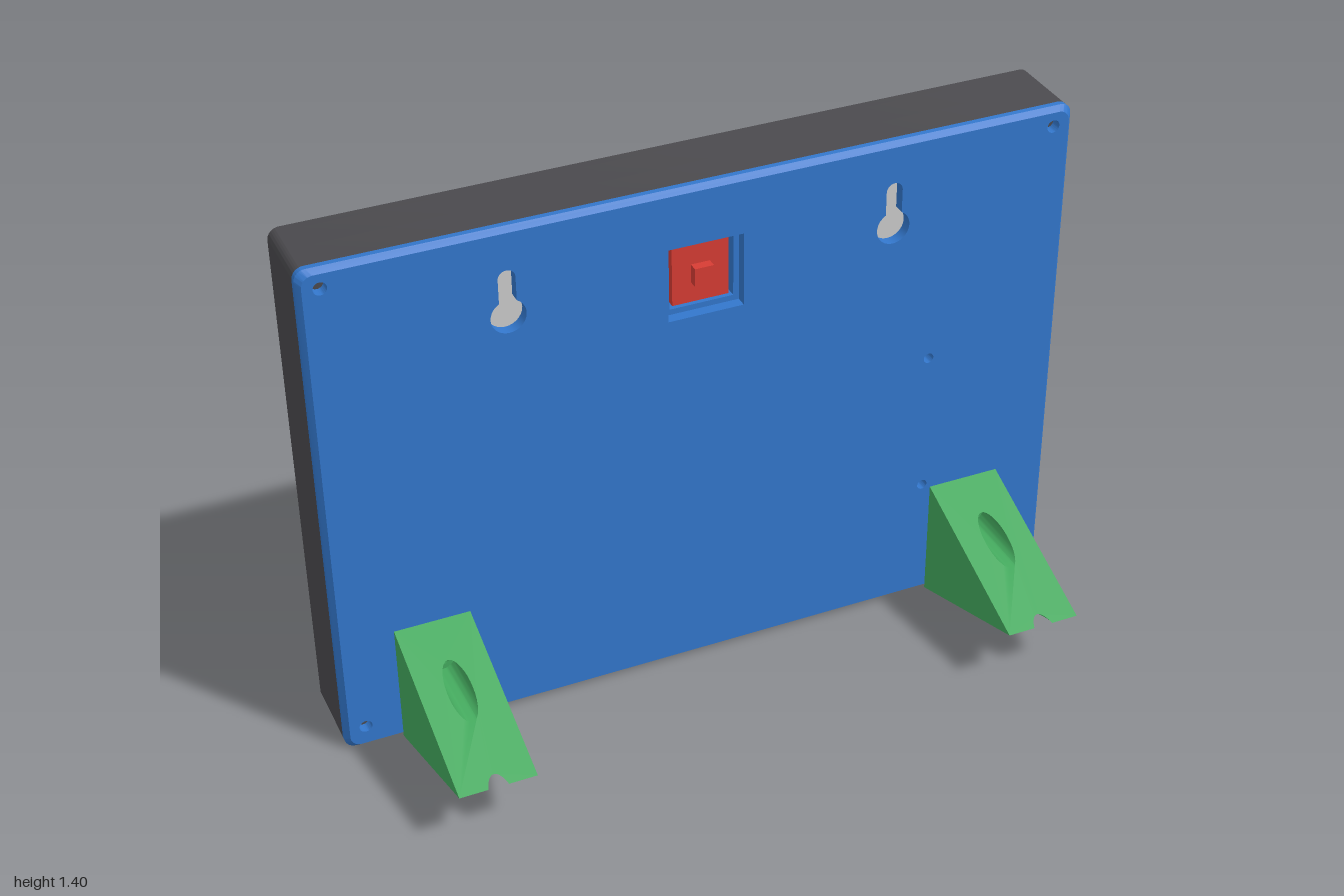
import * as THREE from 'three';
import { toCreasedNormals } from 'three/addons/utils/BufferGeometryUtils.js';

const H = 1.405, MID = H / 2;           // enclosure height and its middle
const COVER = -0.11, SEAM = -0.14, BACK = -0.345;
const SLOT = [0.48, 0.62];              // connector slot in the left wall

const mat = (color) => new THREE.MeshStandardMaterial({ color, side: THREE.DoubleSide });

// Rounded outline of the enclosure; with open = true it is a C with a gap at the slot
function outline(open = false) {
  const r = 0.03, s = new THREE.Shape();
  s.moveTo(1, SLOT[1]);
  s.lineTo(1, H - r);
  s.absarc(1 - r, H - r, r, 0, Math.PI / 2);
  s.absarc(-1 + r, H - r, r, Math.PI / 2, Math.PI);
  s.absarc(-1 + r, r, r, Math.PI, Math.PI * 1.5);
  s.absarc(1 - r, r, r, Math.PI * 1.5, Math.PI * 2);
  s.lineTo(1, SLOT[0]);
  if (open) {
    const inner = [[0.94, SLOT[0]], [0.94, 0.06], [-0.94, 0.06], [-0.94, H - 0.06], [0.94, H - 0.06], [0.94, SLOT[1]]];
    inner.forEach(([x, y]) => s.lineTo(x, y));
  }
  return s;
}

function rect(x0, y0, x1, y1) {
  return new THREE.Path([[x0, y0], [x1, y0], [x1, y1], [x0, y1]].map((p) => new THREE.Vector2(...p)));
}

function circle(x, y, r) {
  return new THREE.Path().absarc(x, y, r, 0, Math.PI * 2);
}

// Extrudes a shape from z0 to z1; the outer rim at z = chamferZ is drawn in
function slab(shape, holes, z0, z1, chamferZ = null, steps = 1) {
  shape.holes.push(...holes);
  const g = new THREE.ExtrudeGeometry(shape, { depth: z1 - z0, steps, bevelEnabled: false, curveSegments: 12 });
  g.translate(0, 0, z0);
  const p = g.attributes.position;
  for (let i = 0; chamferZ !== null && i < p.count; i++) {
    const x = p.getX(i), dy = p.getY(i) - MID;
    const onRim = Math.abs(x) > 0.985 || Math.abs(dy) > MID - 0.015;
    if (onRim && Math.abs(p.getZ(i) - chamferZ) < 1e-4) {
      p.setX(i, x * 0.988);
      p.setY(i, MID + dy * (1 - 0.012 / MID));
    }
  }
  return toCreasedNormals(g, 0.5);
}

// Wedge foot with two screw bores running along z
function footGeometry() {
  const top = 0.34, ridge = 0.165, r = 0.033, low = 0.145;
  const a = Math.asin((ridge - low) / r), c = r * Math.cos(a);
  const upper = new THREE.Shape();
  upper.moveTo(0.1, ridge);
  upper.lineTo(0.1, top);
  upper.lineTo(-0.1, top);
  upper.lineTo(-0.1, ridge);
  upper.lineTo(-c, ridge);
  upper.absarc(0, low, r, Math.PI - a, a, true);
  upper.holes.push(circle(0, 0.265, r));
  const lower = new THREE.Shape();
  lower.moveTo(-0.1, 0);
  lower.lineTo(0.1, 0);
  lower.lineTo(0.1, ridge);
  lower.lineTo(c, ridge);
  lower.absarc(0, low, r, a, Math.PI - a, true);
  lower.lineTo(-0.1, ridge);
  return [upper, lower].map((shape) => {
    const g = new THREE.ExtrudeGeometry(shape, { depth: 1, bevelEnabled: false, curveSegments: 16 }).toNonIndexed();
    const p = g.attributes.position, kept = [];
    for (let i = 0; i < p.count; i += 3) {
      const ids = [i, i + 1, i + 2];
      if (ids.every((k) => Math.abs(p.getY(k) - ridge) < 1e-4)) continue; // inner seam
      for (const k of ids) {
        const y = p.getY(k);
        const t = y > ridge ? (top - y) / (top - ridge) : y / ridge;
        kept.push(p.getX(k), y, p.getZ(k) > 0.5 ? COVER + t * (0.345 - COVER) : COVER);
      }
    }
    const out = new THREE.BufferGeometry();
    out.setAttribute('position', new THREE.Float32BufferAttribute(kept, 3));
    return toCreasedNormals(out, 0.5);
  });
}

export function createModel() {
  const root = new THREE.Group();
  root.name = 'displayEnclosure';
  const blue = mat(0x3377cc), dark = mat(0x4b4a4e), green = mat(0x44aa5e), red = mat(0xd63c34);

  const add = (name, geometry, material, parent = root) => {
    const m = new THREE.Mesh(geometry, material);
    m.name = name;
    parent.add(m);
    return m;
  };
  const box = (name, x0, x1, y0, y1, z0, z1, material) =>
    add(name, new THREE.BoxGeometry(x1 - x0, y1 - y0, z1 - z0), material)
      .position.set((x0 + x1) / 2, (y0 + y1) / 2, (z0 + z1) / 2);

  // Cover with screw holes, keyholes, switch window and foot holes
  const holes = [rect(-0.1, 1.05, 0.1, 1.25), circle(0.625, 0.755, 0.014), circle(0.625, 0.355, 0.014)];
  for (const s of [-1, 1]) {
    for (const y of [0.065, 1.355]) holes.push(circle(s * 0.945, y, 0.017));
    for (const y of [0.145, 0.265]) holes.push(circle(s * 0.75, y, 0.02));
    const a = Math.acos(0.022 / 0.045);
    const key = new THREE.Path();
    key.absarc(s * 0.505, 1.17, 0.045, Math.PI - a, Math.PI * 2 + a);
    key.absarc(s * 0.505, 1.273, 0.022, 0, Math.PI);
    holes.push(key);
  }
  add('cover', slab(outline(), holes, SEAM, COVER, COVER, 2), blue);

  // Case: notched wall, full wall and bezel
  add('caseWallFront', slab(outline(true), [], -0.225, SEAM), dark);
  add('caseWallRear', slab(outline(), [rect(-0.94, 0.06, 0.94, H - 0.06)], -0.31, -0.225), dark);
  add('bezel', slab(outline(), [rect(-0.835, 0.25, 0.835, 1.25)], BACK, -0.31, BACK, 3), dark);
  for (const x of [-0.93, 0.93]) for (const y of [0.07, 1.35]) {
    const post = add('screwPost', new THREE.CylinderGeometry(0.04, 0.04, 0.16, 24), dark);
    post.rotation.x = Math.PI / 2;
    post.position.set(x, y, -0.23);
  }

  // Screen and the module behind it
  box('screen', -0.87, 0.87, 0.22, 1.28, -0.32, -0.3, mat(0xc2bcb0));
  box('displayModule', -0.9, 0.9, 0.14, 1.27, -0.3, -0.23, mat(0xcccccc));

  // Circuit board and connector behind the side slot
  box('circuitBoard', 0.1, 0.58, 0.3, 0.8, -0.225, -0.205, mat(0xe08a22));
  box('connector', 0.3, 0.6, 0.45, 0.65, -0.197, -0.142, mat(0x8450b4));

  // Switch in its recessed tray
  const tray = new THREE.Shape(rect(-0.11, 1.04, 0.11, 1.26).getPoints());
  add('switchTray', slab(tray, [rect(-0.085, 1.065, 0.085, 1.235)], -0.18, SEAM), blue);
  box('switchTrayFloor', -0.11, 0.11, 1.04, 1.26, -0.19, -0.18, blue);
  box('switchBody', -0.075, 0.075, 1.07, 1.23, -0.18, -0.145, red);
  box('switchButton', -0.025, 0.025, 1.125, 1.175, -0.145, -0.12, red);

  // Pair of feet
  const halves = footGeometry();
  for (const s of [-1, 1]) {
    const foot = new THREE.Group();
    foot.name = s > 0 ? 'leftFoot' : 'rightFoot';
    foot.position.x = s * 0.75;
    root.add(foot);
    halves.forEach((g, i) => add(i ? 'footUnderside' : 'footSlope', g, green, foot));
    for (const y of [0.145, 0.265]) {
      add('boreShoulder', new THREE.RingGeometry(0.02, 0.033, 32), green, foot).position.set(0, y, -0.05);
      const bore = add('screwBore', new THREE.CylinderGeometry(0.02, 0.02, 0.06, 32, 1, true), green, foot);
      bore.rotation.x = Math.PI / 2;
      bore.position.set(0, y, -0.08);
    }
  }
  return root;
}
